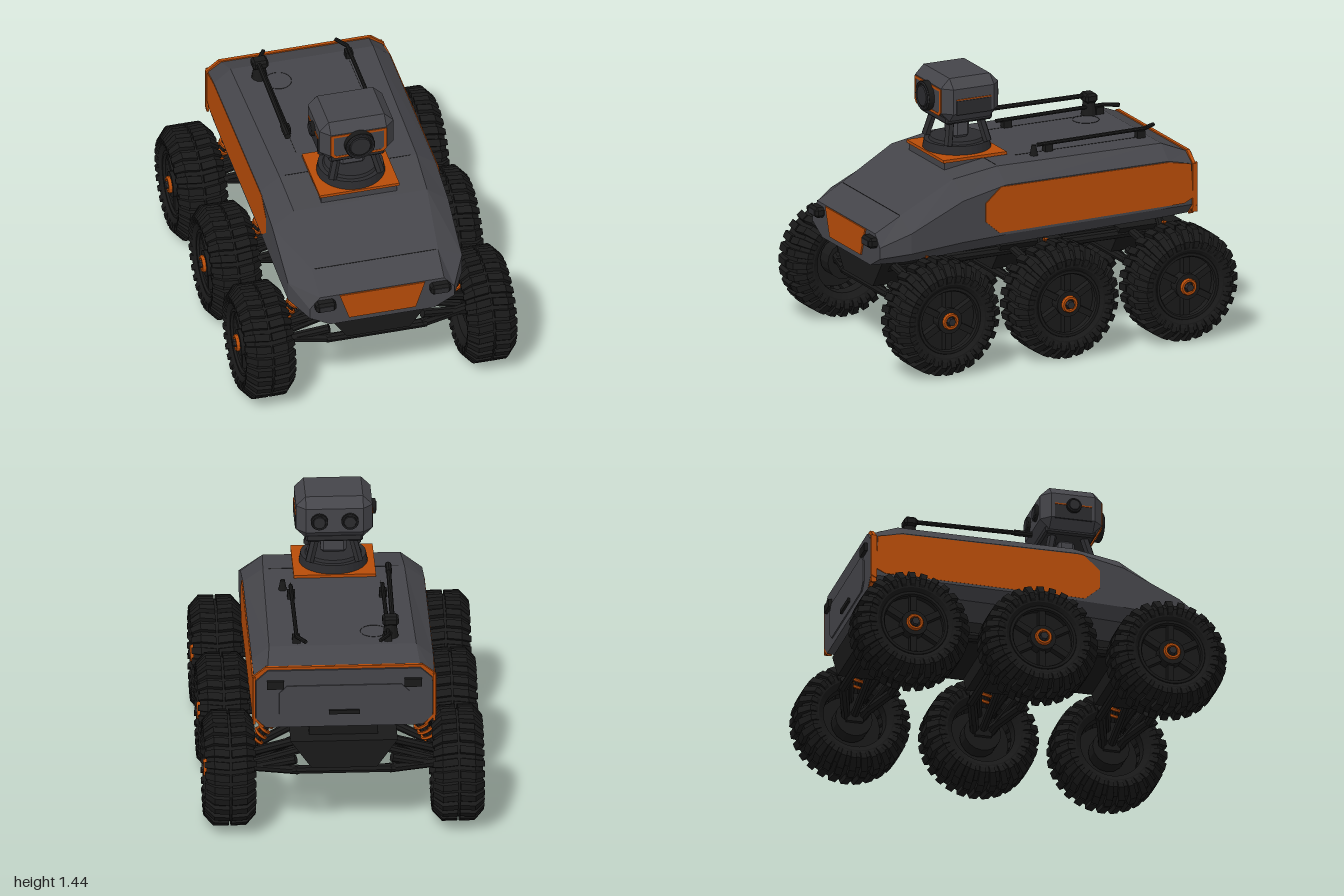
import * as THREE from 'three';
import { mergeGeometries } from 'three/addons/utils/BufferGeometryUtils.js';
import { ConvexGeometry } from 'three/addons/geometries/ConvexGeometry.js';

const paint = (name, color) => {
  const m = new THREE.MeshStandardMaterial({ color, flatShading: true, side: THREE.DoubleSide });
  m.name = name;
  return m;
};
const V = (x, y, z) => new THREE.Vector3(x, y, z);

export function createModel() {
  const hullGrey = paint('hullGrey', 0x45454a);
  const darkGrey = paint('darkGrey', 0x2b2b2e);
  const black = paint('black', 0x191919);
  const orange = paint('orange', 0xb84c08);
  const model = new THREE.Group();
  model.name = 'sixWheeledRover';

  const add = (name, geo, mat, x = 0, y = 0, z = 0, parent = model) => {
    const m = new THREE.Mesh(geo, mat);
    m.name = name;
    m.position.set(x, y, z);
    parent.add(m);
    return m;
  };
  const box = (name, mat, w, h, d, x, y, z) => add(name, new THREE.BoxGeometry(w, h, d), mat, x, y, z);
  const rod = (name, mat, a, b, r, sides = 8, r2 = r) => {
    const d = b.clone().sub(a);
    const m = add(name, new THREE.CylinderGeometry(r2, r, d.length(), sides), mat);
    m.position.copy(a).lerp(b, 0.5);
    m.quaternion.setFromUnitVectors(V(0, 1, 0), d.normalize());
    return m;
  };
  // box with all edges cut at 45 degrees
  const chamferBox = (w, h, d, c) => {
    const p = [];
    for (const sx of [-1, 1]) for (const sy of [-1, 1]) for (const sz of [-1, 1]) {
      const [x, y, z] = [sx * w / 2, sy * h / 2, sz * d / 2];
      p.push(V(x, y - sy * c, z - sz * c), V(x - sx * c, y, z - sz * c), V(x - sx * c, y - sy * c, z));
    }
    return new ConvexGeometry(p);
  };
  const octagon = (bx, by, wx, ly, uy, tx, ty) =>
    [[bx, by], [wx, ly], [wx, uy], [tx, ty], [-tx, ty], [-wx, uy], [-wx, ly], [-bx, by]];
  const shapeOf = pts => new THREE.Shape(pts.map(p => new THREE.Vector2(...p)));
  const extrude = (shape, depth) => new THREE.ExtrudeGeometry(shape, { depth, bevelEnabled: false });

  // Hull: eight-sided cross-sections from tail to nose
  const rings = [
    [-0.85, 0.42, 0.615, 0.47, 0.67, 0.89, 0.40, 0.94],
    [-0.70, 0.43, 0.61, 0.475, 0.67, 0.925, 0.385, 1.0],
    [0.25, 0.43, 0.59, 0.475, 0.655, 0.925, 0.37, 1.0],
    [0.50, 0.425, 0.58, 0.475, 0.645, 0.87, 0.36, 0.96],
    [0.80, 0.39, 0.555, 0.47, 0.62, 0.73, 0.34, 0.795],
    [0.945, 0.28, 0.53, 0.39, 0.59, 0.65, 0.335, 0.715],
  ].map(([z, ...r]) => octagon(...r).map(([x, y]) => [x, y, z]));
  const pos = [];
  for (let i = 0; i < rings.length - 1; i++) for (let j = 0; j < 8; j++) {
    const k = (j + 1) % 8, [a, b, c, d] = [rings[i][j], rings[i][k], rings[i + 1][k], rings[i + 1][j]];
    pos.push(...a, ...b, ...d, ...b, ...c, ...d);
  }
  const [tail, nose] = [rings[0], rings[rings.length - 1]];
  for (let j = 1; j < 7; j++) pos.push(...nose[0], ...nose[j], ...nose[j + 1], ...tail[0], ...tail[j + 1], ...tail[j]);
  const hull = new THREE.BufferGeometry();
  hull.setAttribute('position', new THREE.Float32BufferAttribute(pos, 3));
  hull.computeVertexNormals();
  add('hull', hull, hullGrey);

  // Painted panels, nose plate and deck seams
  const sidePanel = extrude(shapeOf([[0.37, 0.74], [0.37, 0.84], [0.28, 0.92], [-0.70, 0.92], [-0.83, 0.895],
    [-0.84, 0.71], [-0.79, 0.685], [0.29, 0.67]]), 0.008).rotateY(-Math.PI / 2);
  add('leftSidePanel', sidePanel, orange, 0.481);
  add('rightSidePanel', sidePanel, orange, -0.4685);
  add('nosePlate', extrude(shapeOf([[-0.18, 0.56], [0.18, 0.56], [0.23, 0.712], [-0.23, 0.712]]), 0.008), orange, 0, 0, 0.945);
  add('hatchRim', new THREE.TorusGeometry(0.07, 0.001, 4, 28).rotateX(Math.PI / 2), black, -0.17, 1.001, -0.54);
  box('deckSeam', black, 0.68, 0.003, 0.003, 0, 1.0, 0.245);
  box('slopeSeam', black, 0.66, 0.002, 0.002, 0, 0.796, 0.80);
  for (const s of [-1, 1]) box('deckSeam', black, 0.003, 0.003, 0.75, s * 0.235, 1.0, -0.3);

  // Tail frame (open at the bottom), door and lamps
  add('tailFrame', extrude(shapeOf([[0.475, 0.655], [0.482, 0.655], [0.482, 0.895], [0.41, 0.952], [-0.41, 0.952],
    [-0.482, 0.895], [-0.482, 0.655], [-0.475, 0.655], [-0.462, 0.88], [-0.40, 0.932], [0.40, 0.932], [0.462, 0.88]]),
    0.018), orange, 0, 0, -0.856);
  add('tailDoor', extrude(shapeOf(octagon(0.41, 0.612, 0.462, 0.665, 0.88, 0.40, 0.937)), 0.022), hullGrey, 0, 0, -0.868);
  add('tailDoorPanel', extrude(shapeOf(octagon(0.30, 0.65, 0.34, 0.69, 0.81, 0.30, 0.85)), 0.008), hullGrey, 0, 0, -0.875);
  box('tailHandle', black, 0.16, 0.022, 0.015, 0, 0.70, -0.88);
  for (const s of [-1, 1]) {
    box('tailLamp', black, 0.09, 0.045, 0.02, s * 0.36, 0.86, -0.876);
    box('tailSideStrip', orange, 0.012, 0.27, 0.028, s * 0.47, 0.765, -0.853);
    const foot = box('tailFootStrip', orange, 0.012, 0.075, 0.028, s * 0.448, 0.64, -0.853);
    foot.rotation.z = -s * 0.74;
    // Headlights
    add('headlight', chamferBox(0.11, 0.056, 0.06, 0.014), black, s * 0.31, 0.67, 0.962);
    box('headlightLens', darkGrey, 0.07, 0.03, 0.006, s * 0.31, 0.67, 0.992);
  }

  // Chassis
  box('chassisTub', black, 0.44, 0.06, 1.62, 0, 0.495, -0.01);
  box('chassisSpine', black, 0.36, 0.08, 1.55, 0, 0.56, -0.02);
  for (const s of [-1, 1]) rod('frameTube', black, V(s * 0.235, 0.49, -0.80), V(s * 0.235, 0.49, 0.82), 0.026);

  // Wheel, with its axle along x
  const lathe = (pts, n) => new THREE.LatheGeometry(pts.map(p => new THREE.Vector2(...p)), n).rotateZ(-Math.PI / 2);
  const drum = (r, w, n, x) => new THREE.CylinderGeometry(r, r, w, n).rotateZ(-Math.PI / 2).translate(x, 0, 0);
  const tire = lathe([[0.165, -0.04], [0.17, -0.10], [0.20, -0.122], [0.242, -0.125], [0.282, -0.085],
    [0.282, 0.085], [0.242, 0.125], [0.20, 0.122], [0.17, 0.10], [0.165, 0.04]], 40);
  const lugs = [], count = 28;
  for (let i = 0; i < count; i++) for (const s of [-1, 1]) {
    const p = [];
    for (const [x, r, t] of [[0.006, 0.306, 0], [0.085, 0.305, 0.03], [0.135, 0.25, 0.05], [0.131, 0.22, 0.05]])
      for (const [h, half] of [[0, 0.062], [0.035, 0.08]]) for (const w of [-half, half]) {
        const a = i / count * Math.PI * 2 + t + w;
        p.push(V(s * (x - (x > 0.1 ? h * 0.6 : 0)), (r - h) * Math.cos(a), (r - h) * Math.sin(a)));
      }
    lugs.push(new ConvexGeometry(p));
  }
  const tread = mergeGeometries(lugs);
  const rim = mergeGeometries([drum(0.168, 0.03, 32, 0.04), drum(0.07, 0.08, 16, 0.075), drum(0.10, 0.09, 16, -0.04),
    new THREE.TorusGeometry(0.172, 0.014, 6, 32).rotateY(Math.PI / 2).translate(0.1, 0, 0)]);
  const spokes = mergeGeometries([0, 1, 2, 3, 4, 5].map(i =>
    new THREE.BoxGeometry(0.05, 0.12, 0.034).translate(0.07, 0.115, 0).rotateX(i * Math.PI / 3)));
  const hubRing = lathe([[0.046, 0.11], [0.046, 0.124], [0.041, 0.132], [0.030, 0.132], [0.028, 0.11]], 16);
  const hubCap = drum(0.021, 0.04, 6, 0.121);

  // Coil spring standing on y = 0
  const coil = new THREE.TubeGeometry(new THREE.CatmullRomCurve3(Array.from({ length: 49 }, (_, i) => {
    const a = i / 48 * Math.PI * 8;
    return V(0.032 * Math.cos(a), i / 48 * 0.14, 0.032 * Math.sin(a));
  })), 80, 0.009, 5);

  for (const z of [0.695, 0, -0.695]) {
    // Axle housing
    add('axleHousing', extrude(shapeOf([[-0.17, 0.375], [0.17, 0.375], [0.28, 0.53], [-0.28, 0.53]]), 0.36), black, 0, 0, z - 0.18);
    for (const dz of [-0.13, 0.13]) rod('crossTube', black, V(-0.27, 0.345, z + dz), V(0.27, 0.345, z + dz), 0.024);
    for (const s of [-1, 1]) {
      const wheel = new THREE.Group();
      wheel.name = 'wheel';
      wheel.position.set(s * 0.597, 0.306, z);
      if (s < 0) wheel.rotation.y = Math.PI;
      model.add(wheel);
      add('tire', tire, black, 0, 0, 0, wheel);
      add('tread', tread, black, 0, 0, 0, wheel);
      add('rim', rim, black, 0, 0, 0, wheel);
      add('spokes', spokes, black, 0, 0, 0, wheel);
      add('hubRing', hubRing, orange, 0, 0, 0, wheel);
      add('hubCap', hubCap, darkGrey, 0, 0, 0, wheel);
      // Suspension arms, drive shaft and shock absorber
      for (const d of [-1, 1]) {
        rod('lowerArm', black, V(s * 0.24, 0.345, z + d * 0.13), V(s * 0.53, 0.335, z + d * 0.04), 0.026);
        rod('middleArm', black, V(s * 0.25, 0.40, z + d * 0.12), V(s * 0.53, 0.31, z + d * 0.04), 0.024);
        rod('upperArm', black, V(s * 0.25, 0.50, z + d * 0.10), V(s * 0.50, 0.40, z + d * 0.03), 0.024);
      }
      rod('driveShaft', black, V(s * 0.15, 0.42, z), V(s * 0.56, 0.306, z), 0.022);
      box('knuckle', black, 0.05, 0.20, 0.09, s * 0.515, 0.38, z);
      const low = V(s * 0.468, 0.43, z), high = V(s * 0.365, 0.60, z);
      rod('shockAbsorber', black, low, high, 0.022);
      const spring = add('shockSpring', coil, orange);
      spring.position.copy(low).lerp(high, 0.08);
      spring.quaternion.setFromUnitVectors(V(0, 1, 0), high.clone().sub(low).normalize());
    }
  }

  // Turret mount
  const tz = 0.3;
  box('turretWedge', hullGrey, 0.41, 0.05, 0.35, 0, 0.978, tz);
  box('turretPlate', orange, 0.43, 0.016, 0.37, 0, 1.011, tz);
  add('turretRing', new THREE.CylinderGeometry(0.172, 0.18, 0.045, 32), darkGrey, 0, 1.042, tz);
  add('turretCollar', new THREE.CylinderGeometry(0.14, 0.15, 0.02, 32), darkGrey, 0, 1.07, tz);
  add('neck', chamferBox(0.135, 0.11, 0.09, 0.015), hullGrey, 0, 1.135, tz);
  for (const sx of [-1, 1]) for (const sz of [-1, 1])
    rod('neckStrut', darkGrey, V(sx * 0.13, 1.065, tz + sz * 0.115), V(sx * 0.095, 1.20, tz + sz * 0.085), 0.024, 6);

  // Sensor head
  add('headBase', chamferBox(0.30, 0.045, 0.27, 0.01), darkGrey, 0, 1.208, tz);
  add('head', chamferBox(0.40, 0.235, 0.335, 0.05), hullGrey, 0, 1.323, tz);
  // rectangle with its two lower corners cut
  const maskOutline = (x, y, c) => shapeOf([[-x + c, -y], [x - c, -y], [x, c - y], [x, y], [-x, y], [-x, c - y]]);
  const mask = maskOutline(0.152, 0.074, 0.022);
  mask.holes.push(maskOutline(0.136, 0.06, 0.016));
  add('faceFrame', extrude(mask, 0.006), orange, 0, 1.312, 0.465);
  add('facePlate', extrude(maskOutline(0.137, 0.061, 0.016), 0.005), hullGrey, 0, 1.312, 0.464);
  // round camera: a wide barrel with a dark glass, facing +z before turning
  const camera = (name, r, depth, x, y, z, turn) => {
    const g = new THREE.Group();
    g.name = name;
    g.position.set(x, y, z);
    g.rotation.y = turn;
    model.add(g);
    add('barrel', new THREE.CylinderGeometry(r, r, depth, 28).rotateX(Math.PI / 2), black, 0, 0, 0, g);
    add('bezel', new THREE.TorusGeometry(r * 0.87, r * 0.08, 6, 28), darkGrey, 0, 0, depth / 2, g);
    add('glass', new THREE.CylinderGeometry(r * 0.66, r * 0.72, 0.008, 24).rotateX(Math.PI / 2), darkGrey, 0, 0, depth / 2 + 0.002, g);
  };
  camera('frontCamera', 0.08, 0.034, 0, 1.317, 0.483, 0);
  for (const s of [-1, 1]) camera('rearCamera', 0.045, 0.02, s * 0.08, 1.32, 0.129, Math.PI);
  camera('rightCamera', 0.04, 0.025, -0.207, 1.325, tz, -Math.PI / 2);
  for (const s of [-1, 1]) {
    box('headSidePanel', darkGrey, 0.008, 0.075, 0.20, s * 0.2, 1.288, tz);
    box('headSideStripe', orange, 0.01, 0.006, 0.20, s * 0.2, 1.332, tz);
  }

  // Deck masts: a folded rod on each side
  for (const s of [-1, 1]) {
    const x = s * 0.24;
    rod('foldedMast', black, V(x, 1.04, -0.05), V(x, 1.045, -0.68), 0.011);
    rod('mastTip', black, V(x, 1.045, -0.68), V(s * 0.195, 1.045, -0.75), 0.011);
    for (const z of [-0.11, -0.65]) box('mastClamp', black, 0.04, 0.04, 0.045, x, 1.018, z);
  }
  rod('mastPivot', black, V(-0.255, 1.0, -0.6), V(-0.255, 1.08, -0.6), 0.042, 12, 0.03);
  add('mastBlock', chamferBox(0.085, 0.05, 0.07, 0.012), black, -0.255, 1.093, -0.6);
  rod('upperMast', black, V(-0.265, 1.10, -0.57), V(-0.275, 1.10, 0.03), 0.013);
  rod('upperMastTip', black, V(-0.275, 1.10, -0.04), V(-0.275, 1.10, 0.055), 0.017);
  rod('deckBeacon', black, V(0.28, 1.0, -0.01), V(0.28, 1.055, -0.01), 0.022, 12, 0.012);
  return model;
}
